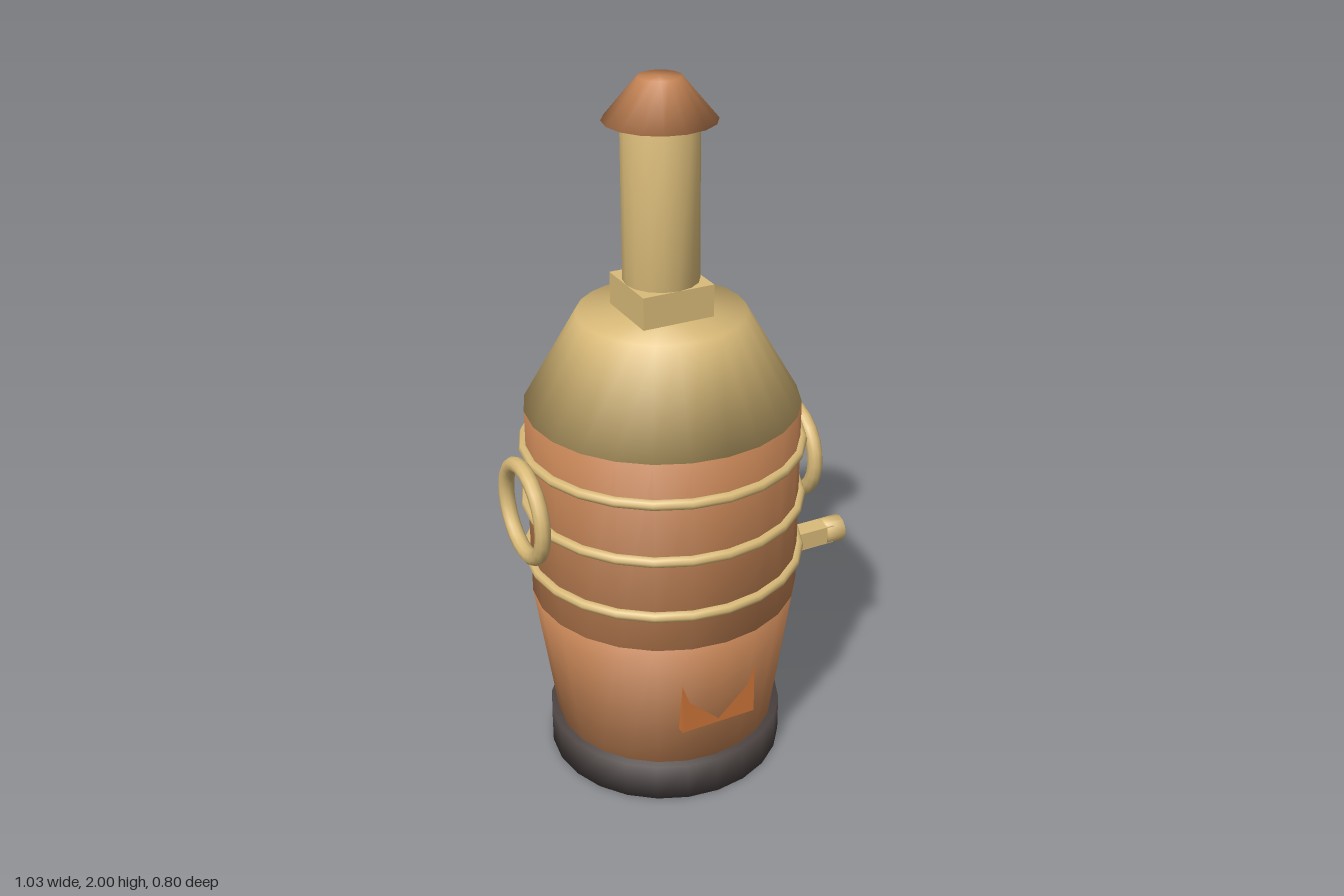
import * as THREE from 'three';
import { mergeVertices } from 'three/addons/utils/BufferGeometryUtils.js';

function flat(name, color) {
  const m = new THREE.MeshStandardMaterial({ color });
  m.name = name;
  return m;
}

// Cylinder or frustum between two heights, with normals blended over its rims
function softDrum(rTop, rBottom, y0, y1, sides) {
  let g = new THREE.CylinderGeometry(rTop, rBottom, y1 - y0, sides);
  g.deleteAttribute('uv');
  g.deleteAttribute('normal');
  g = mergeVertices(g);
  g.computeVertexNormals();
  return g.translate(0, (y0 + y1) / 2, 0);
}

export function createModel() {
  const copper = flat('copper', 0xc58455);
  const brass = flat('brass', 0xdabb79);
  const iron = flat('dark iron', 0x4b4341);
  const ember = flat('ember orange', 0xcc7438);

  const model = new THREE.Group();
  model.name = 'boiler';
  const body = new THREE.Group();
  body.name = 'boilerBody';
  body.position.x = -0.08; // the spigot sticks out on one side
  model.add(body);

  const add = (name, geometry, material, x = 0, y = 0, z = 0) => {
    const mesh = new THREE.Mesh(geometry, material);
    mesh.name = name;
    mesh.position.set(x, y, z);
    body.add(mesh);
    return mesh;
  };

  // Vessel from the foot up
  add('base', softDrum(0.342, 0.342, 0, 0.114, 24), iron);
  add('firebox', softDrum(0.38, 0.32, 0.114, 0.54, 24), copper);
  add('barrel', softDrum(0.38, 0.38, 0.54, 1.11, 24), copper);
  add('shoulder', softDrum(0.23, 0.38, 1.11, 1.372, 24), brass);

  // Chimney
  add('chimneyCollar', new THREE.BoxGeometry(0.206, 0.09, 0.206), brass, 0, 1.417, 0);
  add('chimney', softDrum(0.103, 0.103, 1.44, 1.9, 16), brass);
  add('chimneyCap', softDrum(0.057, 0.15, 1.89, 2.0, 16), copper);

  // Hoops around the barrel
  for (const y of [0.652, 0.823, 0.995]) {
    const hoop = new THREE.TorusGeometry(0.384, 0.015, 8, 24).rotateX(Math.PI / 2);
    add('hoop', hoop, brass, 0, y, 0);
  }

  // Ring handles on both sides
  for (const side of [1, -1]) {
    const ring = new THREE.TorusGeometry(0.13, 0.022, 10, 24).rotateY(Math.PI / 2);
    add(side > 0 ? 'leftHandle' : 'rightHandle', ring, brass, side * 0.418, 0.865, 0);
  }

  // Spigot with its knob
  add('spigot', new THREE.BoxGeometry(0.22, 0.057, 0.057), brass, 0.45, 0.537, 0);
  const knob = softDrum(0.04, 0.04, -0.029, 0.029, 12).rotateZ(-Math.PI / 2);
  add('spigotKnob', knob, brass, 0.567, 0.537, 0);

  // Fire door, its middle sunk behind the flaring wall
  add('fireDoor', new THREE.BoxGeometry(0.226, 0.2, 0.04), ember, 0, 0.345, 0.32);

  return model;
}
